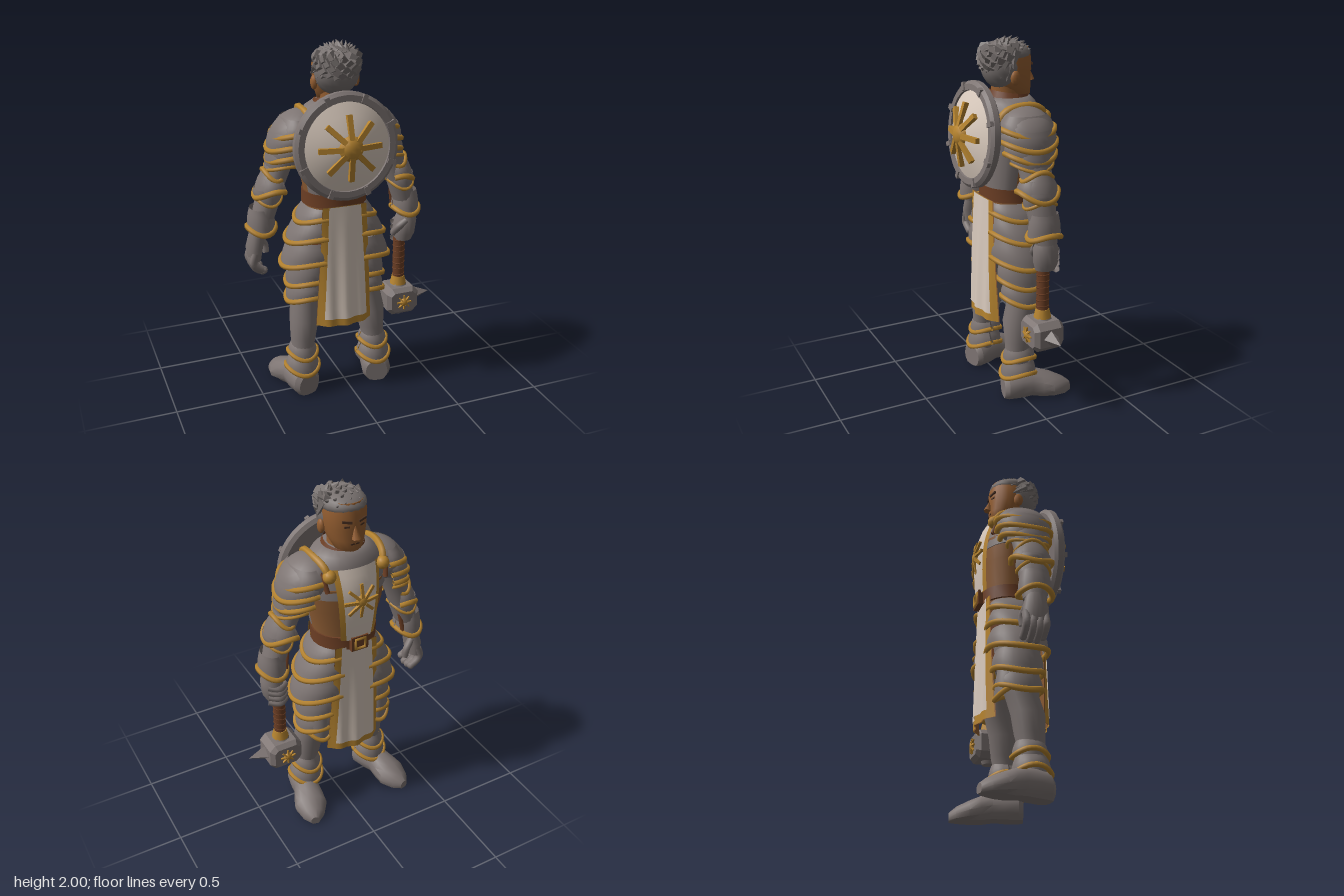
import * as THREE from 'three';
import { toCreasedNormals } from 'three/addons/utils/BufferGeometryUtils.js';

const mat = (name, color) => new THREE.MeshStandardMaterial({ name, color, side: THREE.DoubleSide });
const steel = mat('steel', 0x7e7573), gold = mat('gold', 0xb5832f), cloth = mat('cloth', 0xd8c9bc),
  leather = mat('leather', 0x6c3e24), padding = mat('padding', 0x8a5a32), skin = mat('skin', 0x935d30),
  hair = mat('hair', 0x77706e), dark = mat('dark', 0x4a3020);
const V = (x, y, z) => new THREE.Vector3(x, y, z);
const lerp = THREE.MathUtils.lerp;

function add(parent, name, geo, m, x = 0, y = 0, z = 0) {
  const mesh = new THREE.Mesh(geo, m);
  mesh.name = name;
  mesh.position.set(x, y, z);
  parent.add(mesh);
  return mesh;
}

// Grid surface from f(u, v), v running downwards
function sheet(nu, nv, f) {
  const pos = [], idx = [];
  for (let j = 0; j <= nv; j++) for (let i = 0; i <= nu; i++) pos.push(...f(i / nu, j / nv));
  for (let j = 0; j < nv; j++) for (let i = 0; i < nu; i++) {
    const a = j * (nu + 1) + i, b = a + nu + 1;
    idx.push(a, a + 1, b, a + 1, b + 1, b);
  }
  const g = new THREE.BufferGeometry();
  g.setAttribute('position', new THREE.Float32BufferAttribute(pos, 3));
  g.setIndex(idx);
  g.computeVertexNormals();
  return g;
}

// Closed body from elliptical sections [x, y, z, rx, rz], listed upwards
function loft(sections, sides = 18) {
  const s = [...sections].reverse();
  const rings = [[...s[0].slice(0, 3), 1e-4, 1e-4], ...s, [...s[s.length - 1].slice(0, 3), 1e-4, 1e-4]];
  const n = rings.length - 1;
  const g = sheet(sides, n, (u, v) => {
    const [x, y, z, rx, rz] = rings[Math.round(v * n)], a = u * Math.PI * 2;
    return [x + rx * Math.cos(a), y, z + rz * Math.sin(a)];
  });
  return toCreasedNormals(g, 0.8);
}

const tube = (pts, r, n = 24) => new THREE.TubeGeometry(new THREE.CatmullRomCurve3(pts), n, r, 6);

// Curved armour plate with a gold edge; s mirrors it, turn aims its middle
function lame(parent, name, s, cx, cz, top, bottom, half, dip = 0.02, r = 0.016, turn = 0) {
  const f = (u, v) => {
    const a = (s > 0 ? 2 * u - 1 : 1 - 2 * u) * half, b = a + turn;
    const y = lerp(top[0], bottom[0], v) - v * dip * Math.cos(a * 2);
    const belly = 1 + 0.06 * Math.sin(v * Math.PI);
    return [s * (cx + lerp(top[1], bottom[1], v) * belly * Math.cos(b)), y,
      cz + lerp(top[2], bottom[2], v) * belly * Math.sin(b)];
  };
  add(parent, name, sheet(20, 4, f), steel);
  const edge = [];
  for (let i = 0; i <= 14; i++) edge.push(V(...f(i / 14, 1)));
  add(parent, name + 'Trim', tube(edge, r, 28), gold);
}

// Eight-rayed sun facing +z
function sun(parent, name, R, r, thick) {
  const g = new THREE.Group();
  g.name = name;
  for (let i = 0; i < 8; i++) {
    const arm = new THREE.Group();
    arm.rotation.z = i * Math.PI / 4;
    const ray = add(arm, 'sunRay', new THREE.BoxGeometry(R - r * 0.6, R * 0.16, thick), gold, (R + r * 0.6) / 2, 0, thick * 0.4);
    ray.rotation.y = 0.22;
    g.add(arm);
  }
  add(g, 'sunBoss', new THREE.SphereGeometry(r, 14, 10), gold).scale.z = 0.75;
  parent.add(g);
  return g;
}

function buildTorso(p) {
  add(p, 'pelvis', loft([[0, .78, -.04, .12, .11], [0, .95, -.04, .165, .14], [0, 1.14, -.05, .165, .15]]), leather);
  add(p, 'paddedTorso', loft([[0, 1.1, -.05, .17, .15], [0, 1.22, -.05, .175, .155], [0, 1.36, -.06, .21, .16],
    [0, 1.5, -.06, .225, .16]], 24), padding);
  add(p, 'backPlate', loft([[0, 1.2, .0, .165, .11], [0, 1.36, .0, .2, .115], [0, 1.54, .0, .22, .115]], 24), steel);
  add(p, 'mantle', loft([[0, 1.44, -.055, .228, .168], [0, 1.56, -.05, .23, .164], [0, 1.62, -.045, .2, .155],
    [0, 1.66, -.04, .16, .14], [0, 1.685, -.04, .12, .115]], 24), steel);
  add(p, 'collar', sheet(24, 2, (u, v) => {
    const a = u * Math.PI * 2, r = lerp(.105, .135, v);
    return [r * Math.cos(a), lerp(1.705, 1.64, v) + .015 * Math.sin(a), -.045 + r * Math.sin(a)];
  }), leather);
  add(p, 'belt', loft([[0, 1.125, -.05, .182, .166], [0, 1.2, -.05, .182, .166]], 24), leather);
  add(p, 'buckle', new THREE.BoxGeometry(.1, .085, .025), leather, 0, 1.165, -.222);
  add(p, 'buckleFrame', new THREE.TorusGeometry(.04, .009, 6, 4), gold, 0, 1.165, -.236).rotation.z = Math.PI / 4;
  // Chest cloth with gold border
  const chest = (inset, off) => sheet(8, 10, (u, v) => {
    const y = lerp(1.61, 1.19, v), x = (2 * u - 1) * (lerp(.135, .1, v) - inset);
    return [x, y, -.236 + 1.8 * x * x + (y > 1.42 ? 1 : .3) * (y - 1.42) ** 2 - off];
  });
  add(p, 'chestBorder', chest(0, 0), gold);
  add(p, 'chestCloth', chest(.026, .005), cloth);
  const badge = sun(p, 'chestSun', .1, .036, .014);
  badge.position.set(0, 1.43, -.236);
  badge.rotation.y = Math.PI;
  for (const s of [1, -1]) {
    add(p, 'shoulderStrap', tube([V(s * .15, 1.56, -.19), V(s * .17, 1.63, -.15), V(s * .185, 1.655, -.05),
      V(s * .175, 1.63, .06), V(s * .16, 1.55, .11)], .02), gold);
    add(p, 'strapLining', tube([V(s * .17, 1.5, -.19), V(s * .185, 1.58, -.16), V(s * .212, 1.64, -.06),
      V(s * .2, 1.6, .06)], .014), leather);
    add(p, 'strapStud', new THREE.SphereGeometry(.036, 12, 8), gold, s * .155, 1.585, -.18);
  }
  // Hanging panels, f = 1 at the back and -1 at the front
  for (const f of [1, -1]) {
    const panel = (inset, off) => sheet(16, 10, (u, v) => {
      const y = lerp(1.14, .44 + inset * 1.3, v), t = (1.14 - y) / .7, q = 1 - 2 * u;
      const x = f * q * (lerp(.125, .162, t) - inset);
      const z = (f > 0 ? lerp(.122, .158, t) : lerp(.2, .225, t)) + .007 * t * Math.cos(x * 60) - (.4 + 1.6 * t) * x * x + off;
      return [x, y, f * z];
    });
    add(p, 'panelLining', panel(0, -.006), padding);
    add(p, 'panelBorder', panel(0, 0), gold);
    add(p, 'panelCloth', panel(.034, .005), cloth);
  }
}

function buildHead(p) {
  add(p, 'neck', loft([[0, 1.6, -.03, .08, .08], [0, 1.75, -.03, .078, .08]]), skin);
  add(p, 'face', loft([[0, 1.665, -.105, .05, .045], [0, 1.69, -.09, .075, .075], [0, 1.74, -.065, .098, .102],
    [0, 1.8, -.05, .112, .115], [0, 1.88, -.045, .116, .123], [0, 1.94, -.04, .1, .11]], 20), skin);
  const nose = add(p, 'nose', new THREE.ConeGeometry(.024, .08, 6), skin, 0, 1.795, -.169);
  nose.rotation.x = .2;
  add(p, 'mouth', new THREE.BoxGeometry(.05, .008, .008), dark, 0, 1.725, -.162);
  for (const s of [1, -1]) {
    add(p, 'ear', new THREE.SphereGeometry(.03, 10, 8), skin, s * .118, 1.79, -.025).scale.set(.6, 1.3, .9);
    add(p, 'eye', new THREE.BoxGeometry(.028, .01, .008), dark, s * .042, 1.822, -.155).rotation.y = s * -.35;
    add(p, 'brow', new THREE.BoxGeometry(.05, .012, .012), dark, s * .043, 1.85, -.158).rotation.set(0, s * -.35, s * .1);
  }
  add(p, 'hairBack', new THREE.SphereGeometry(1, 18, 12), hair, 0, 1.845, .0).scale.set(.122, .125, .108);
  add(p, 'hairTop', new THREE.SphereGeometry(1, 18, 12), hair, 0, 1.91, -.035).scale.set(.12, .062, .128);
  // Swept locks spread evenly over the scalp
  const lock = toCreasedNormals(new THREE.ConeGeometry(.036, .095, 5), .3);
  for (let i = 0; i < 110; i++) {
    const h = 1 - (i + .5) / 110 * 1.6, a = i * 2.39996, c = Math.sqrt(1 - h * h);
    const n = V(c * Math.cos(a), h, c * Math.sin(a));
    if (n.z < -.15 && h < .5 || n.z < .25 && h < -.1) continue;
    const d = n.clone().multiplyScalar(.3).add(V(-n.z * .6, h > .5 ? .05 : -.7, n.x * .6 - .4)).normalize();
    const m = add(p, 'hairLock', lock, hair, n.x * .115, 1.86 + n.y * .107, -.024 + n.z * .118);
    m.quaternion.setFromUnitVectors(V(0, 1, 0), d);
  }
}

function buildArm(p, s) {
  add(p, 'arm', loft([[s * .437, .98, -.04, .052, .062], [s * .42, 1.06, -.035, .06, .075], [s * .385, 1.18, -.03, .068, .085],
    [s * .355, 1.27, -.03, .065, .085], [s * .31, 1.4, -.03, .075, .095], [s * .255, 1.55, -.035, .085, .11]]), steel);
  const cap = add(p, 'pauldron', new THREE.SphereGeometry(1, 20, 14), steel, s * .225, 1.535, -.035);
  cap.scale.set(.15, .108, .148);
  cap.rotation.z = s * -.62;
  lame(p, 'upperPauldronPlate', s, .225, -.035, [1.62, .07, .11], [1.535, .125, .15], 1.8);
  lame(p, 'middlePauldronPlate', s, .245, -.035, [1.55, .11, .135], [1.47, .13, .15], 1.8);
  lame(p, 'lowerPauldronPlate', s, .262, -.035, [1.49, .105, .125], [1.41, .115, .138], 1.8);
  lame(p, 'upperArmPlate', s, .295, -.03, [1.44, .085, .105], [1.365, .095, .112], 2, .015, .01);
  lame(p, 'elbowGuard', s, .355, -.03, [1.31, .07, .085], [1.225, .1, .11], 2, .025);
  lame(p, 'elbowPeak', s, .35, -.03, [1.25, .1, .108], [1.325, .055, .085], 2, -.025, .014);
  lame(p, 'forearmCuff', s, .385, -.03, [1.25, .072, .088], [1.185, .072, .088], 3.1, -.02, .01);
  lame(p, 'wristCuff', s, .425, -.035, [1.14, .06, .075], [1.02, .075, .09], 3.1, -.015);
  add(p, 'cuffStrap', tube([V(s * .345, 1.2, -.06), V(s * .355, 1.12, -.075), V(s * .37, 1.03, -.085)], .014), leather);
}

function buildHands(p) {
  // Fist around the hammer shaft
  add(p, 'fist', loft([[.42, .83, -.045, .05, .055], [.425, .87, -.045, .066, .066], [.435, .95, -.04, .062, .07],
    [.437, 1.0, -.04, .045, .05]]), steel);
  for (let i = 0; i < 4; i++)
    add(p, 'fistFinger', tube([V(.475, .94 - i * .033, -.08), V(.42, .93 - i * .033, -.105), V(.37, .925 - i * .033, -.07)], .02, 10), steel);
  add(p, 'fistThumb', tube([V(.42, .96, .01), V(.375, .92, .0), V(.36, .87, -.04)], .021, 10), steel);
  // Open hand with curled fingers
  add(p, 'palm', loft([[-.465, .84, -.05, .034, .062], [-.465, .91, -.045, .046, .068], [-.445, 1.0, -.04, .045, .052]]), steel);
  for (let i = 0; i < 4; i++) {
    const z = -.1 + i * .034, l = [.01, 0, 0, .02][i];
    add(p, 'finger', tube([V(-.47, .89, z), V(-.485, .83, z), V(-.468, .79 + l, z), V(-.428, .765 + l, z)], .022, 12), steel);
    add(p, 'fingertip', new THREE.SphereGeometry(.022, 8, 6), steel, -.428, .765 + l, z);
  }
  add(p, 'thumb', tube([V(-.435, .95, -.08), V(-.395, .9, -.095), V(-.39, .85, -.09)], .021, 10), steel);
}

function buildLeg(p, s) {
  add(p, 'leg', loft([[s * .22, .08, .02, .065, .07], [s * .218, .25, .01, .06, .068], [s * .21, .34, .0, .072, .08],
    [s * .2, .45, -.005, .083, .09], [s * .19, .54, -.03, .08, .09], [s * .17, .66, -.045, .095, .11],
    [s * .13, .88, -.04, .115, .13]]), steel);
  lame(p, 'hipPlate', s, .09, -.04, [1.12, .085, .13], [1.05, .135, .15], 1.75);
  lame(p, 'upperTasset', s, .115, -.04, [1.05, .1, .135], [.94, .168, .158], 1.8);
  lame(p, 'lowerTasset', s, .135, -.04, [.93, .125, .142], [.8, .178, .162], 1.85);
  lame(p, 'thighPlate', s, .16, -.045, [.8, .105, .12], [.675, .125, .135], 2.2);
  lame(p, 'kneeBand', s, .175, -.045, [.66, .095, .11], [.575, .112, .122], 2.2);
  lame(p, 'kneeGuard', s, .185, -.06, [.68, .07, .1], [.55, .085, .115], 1.2, .03, .014, -Math.PI / 2);
  lame(p, 'ankleCuff', s, .216, 0, [.3, .06, .075], [.235, .082, .092], 3.1, -.015, .014);
  lame(p, 'bootCuff', s, .22, .005, [.22, .07, .082], [.145, .095, .1], 3.1, -.018, .014);
  // Boot, swung slightly outwards
  const boot = loft([[0, -.1, .06, .065, .07], [0, -.075, .07, .085, .085], [0, .0, .075, .085, .09], [0, .06, .075, .075, .085],
    [0, .12, .06, .088, .08], [0, .18, .045, .096, .07], [0, .25, .03, .066, .052], [0, .29, .02, .026, .03]], 14).rotateX(-Math.PI / 2);
  const pos = boot.attributes.position;
  for (let i = 0; i < pos.count; i++) pos.setY(i, Math.max(0, pos.getY(i)));
  add(p, 'boot', toCreasedNormals(boot, .6), steel, s * .235, 0, 0).rotation.y = -s * .25;
}

function buildShield(p) {
  const g = new THREE.Group();
  g.name = 'shield';
  g.position.set(-.01, 1.485, .16);
  g.rotation.x = -.09;
  const lathe = pts => toCreasedNormals(new THREE.LatheGeometry(pts.map(q => new THREE.Vector2(...q)), 40).rotateX(Math.PI / 2), .5);
  add(g, 'shieldRim', lathe([[0, -.03], [.265, -.03], [.286, -.015], [.286, .015], [.268, .03], [.236, .03], [.232, .012]]), steel);
  add(g, 'shieldFace', lathe([[.236, .018], [.17, .045], [.08, .073], [0, .085]]), cloth);
  for (let i = 0; i < 8; i++) {
    const a = (i + .5) * Math.PI / 4;
    add(g, 'rimStud', new THREE.BoxGeometry(.045, .026, .02), steel, .261 * Math.cos(a), .261 * Math.sin(a), .028).rotation.z = a;
  }
  sun(g, 'shieldSun', .174, .07, .026).position.z = .062;
  p.add(g);
}

function buildHammer(p) {
  const g = new THREE.Group();
  g.name = 'hammer';
  g.position.set(.4, 0, -.045);
  add(g, 'shaft', new THREE.CylinderGeometry(.034, .034, .32, 12), leather, 0, .73, 0);
  for (let i = 0; i < 7; i++)
    add(g, 'gripWrap', new THREE.TorusGeometry(.033, .004, 5, 14), leather, 0, .61 + i * .036, 0).rotation.set(Math.PI / 2, .15, 0);
  add(g, 'shaftCollar', new THREE.CylinderGeometry(.037, .048, .05, 12), gold, 0, .57, 0);
  const w = .076, h = .06, c = .02, shape = new THREE.Shape();
  [[-w, -h + c], [-w + c, -h], [w - c, -h], [w, -h + c], [w, h - c], [w - c, h], [-w + c, h], [-w, h - c]]
    .forEach(([x, y], i) => i ? shape.lineTo(x, y) : shape.moveTo(x, y));
  const head = new THREE.ExtrudeGeometry(shape, { depth: .13, bevelThickness: .024, bevelSize: .022, bevelSegments: 1 });
  add(g, 'hammerHead', head.translate(0, .457, -.065), steel);
  add(g, 'headNeck', new THREE.CylinderGeometry(.045, .055, .02, 8), steel, 0, .542, 0);
  add(g, 'headNub', new THREE.CylinderGeometry(.045, .035, .03, 8), steel, 0, .37, 0);
  for (const f of [1, -1]) {
    const badge = sun(g, 'hammerSun', .045, .024, .012);
    badge.position.set(0, .457, f * .09);
    if (f < 0) badge.rotation.y = Math.PI;
  }
  const spike = toCreasedNormals(new THREE.ConeGeometry(.044, .1, 4), .3);
  add(g, 'spike', spike, steel, .15, .457, 0).rotation.z = -Math.PI / 2;
  p.add(g);
}

export function createModel() {
  const root = new THREE.Group(), body = new THREE.Group();
  root.name = 'armouredKnight';
  body.name = 'knight';
  body.position.x = -.04;
  root.add(body);
  buildTorso(body);
  buildHead(body);
  for (const s of [1, -1]) {
    buildArm(body, s);
    buildLeg(body, s);
  }
  buildHands(body);
  buildShield(body);
  buildHammer(body);
  return root;
}
